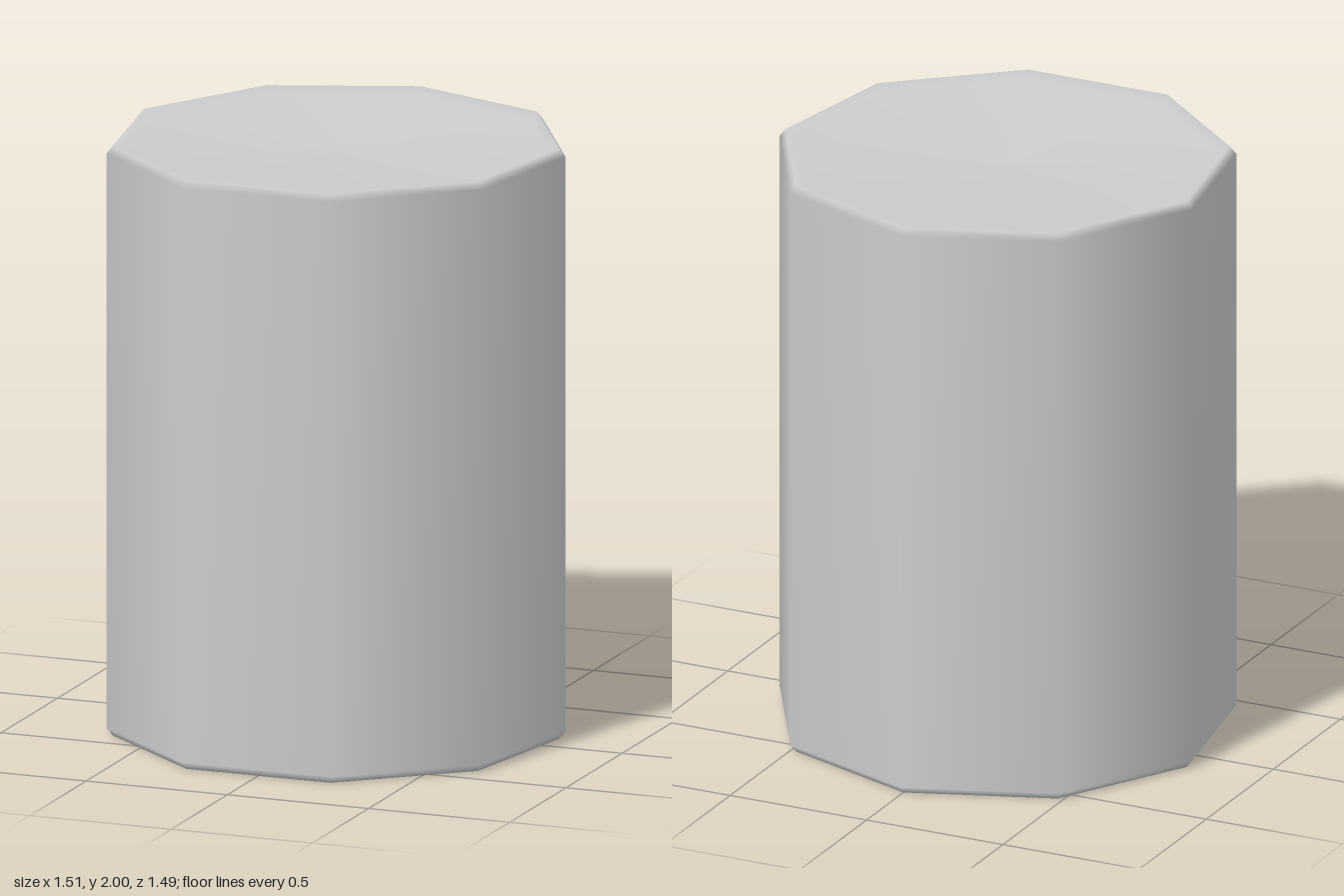
import * as THREE from 'three';

export function createModel() {
  const group = new THREE.Group();
  const grey = new THREE.MeshStandardMaterial({ color: 0xcccccc });
  grey.name = 'light grey';

  const sides = 9;
  const radius = 0.767; // corner radius
  const height = 2;

  // Half section: shallow dished end, soft lip, outer wall
  const end = [
    [0, 0.05],
    [radius - 0.045, 0.02],
    [radius - 0.02, 0],
    [radius, 0.025],
  ];
  // The upper end mirrors the lower one
  const section = [...end, ...end.map(([r, y]) => [r, height - y]).reverse()]
    .map(([r, y]) => new THREE.Vector2(r, y));

  // Nine-sided solid drum with one corner at the back
  const drum = new THREE.Mesh(new THREE.LatheGeometry(section, sides, Math.PI), grey);
  drum.name = 'drum';
  drum.position.z = 0.023;
  group.add(drum);

  return group;
}
